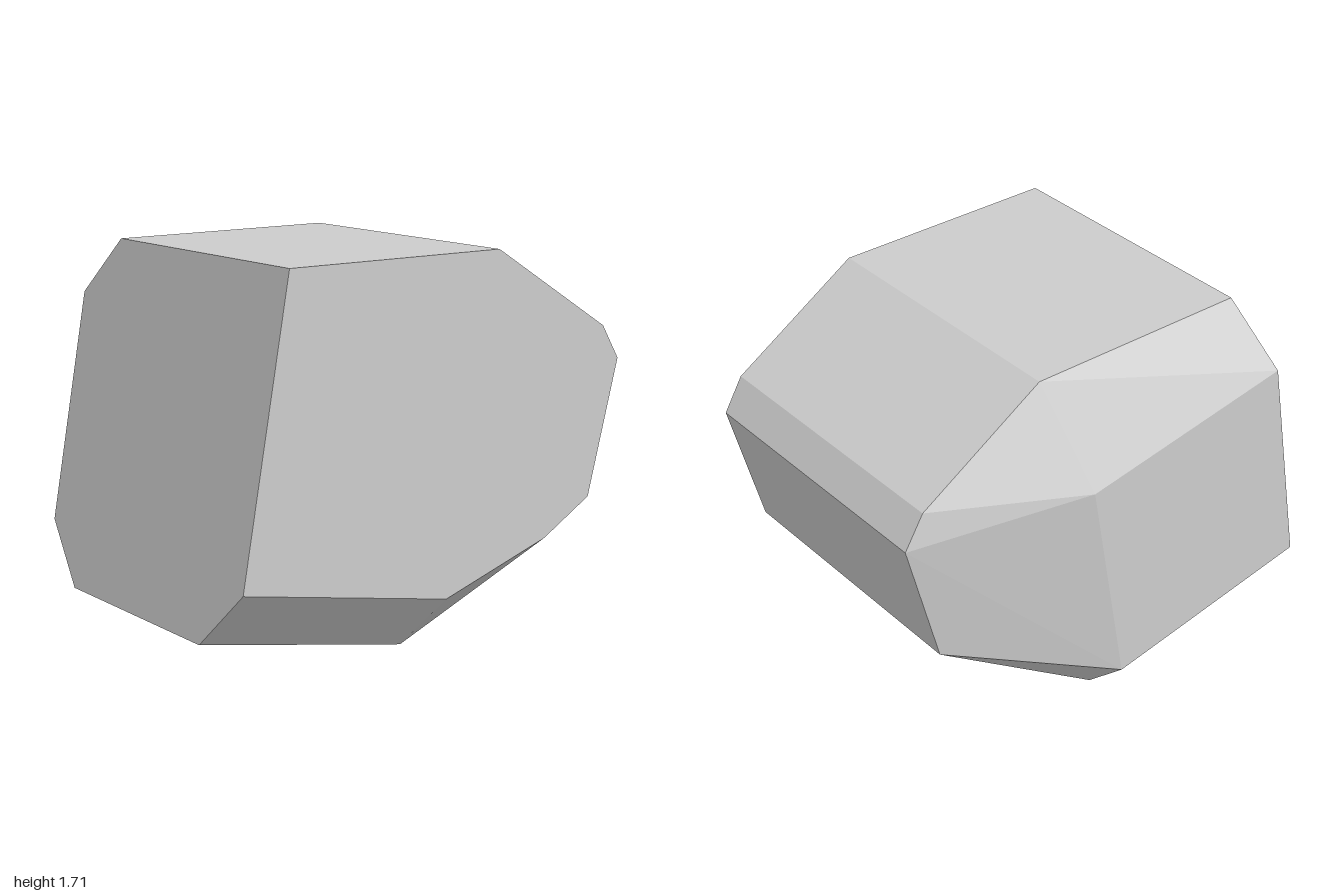
import * as THREE from 'three';
import { ConvexGeometry } from 'three/addons/geometries/ConvexGeometry.js';

export function createModel() {
  const group = new THREE.Group();
  const stone = new THREE.MeshStandardMaterial({ color: 0xcccccc });
  stone.name = 'pale grey';

  const points = [];
  // Places a [z, y] outline at one x position
  const section = (x, outline) => outline.forEach(([z, y]) => points.push(new THREE.Vector3(x, y, z)));

  const upper = [[0.73, 1.705], [-0.32, 1.71], [-0.91, 1.34], [-1, 1.19], [-0.845, 0.59]];
  const keel = [[1, 0.18], [-0.015, 0]];
  const lowerSide = [[0.955, 0.435], [-0.06, 0.255]];

  // Flat full-height side
  section(0.773, [...upper, ...lowerSide, [-0.6, 0.44]]);
  // Underside edges
  section(0.515, keel);
  section(-0.518, keel);
  // Bevelled side: upper edge set in, smaller panel further out
  section(-0.518, upper);
  section(-0.775, [[0.775, 1.45], [-0.24, 1.27], ...lowerSide]);

  // One faceted solid around all the corners
  const block = new THREE.Mesh(new ConvexGeometry(points), stone);
  block.name = 'facetedBlock';
  group.add(block);
  return group;
}
